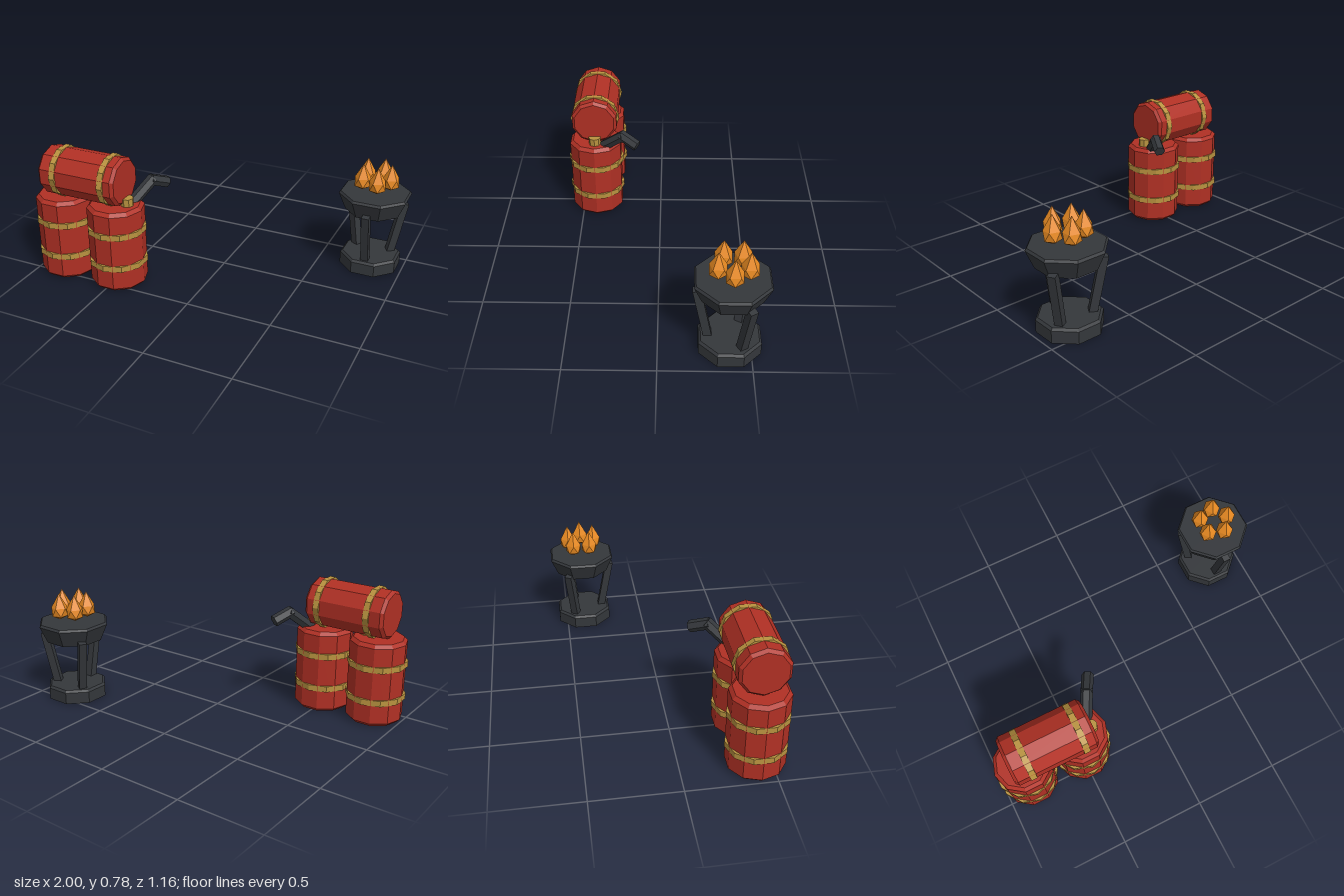
import * as THREE from 'three';
import { ConvexGeometry } from 'three/addons/geometries/ConvexGeometry.js';

const paint = (color) => new THREE.MeshStandardMaterial({ color, flatShading: true });
const red = paint(0xb03024);
const gold = paint(0xb8923f);
const iron = paint(0x34373b);
const flameOrange = paint(0xe88a22);

function add(parent, name, geometry, material, x = 0, y = 0, z = 0) {
  const mesh = new THREE.Mesh(geometry, material);
  mesh.name = name;
  mesh.position.set(x, y, z);
  parent.add(mesh);
  return mesh;
}

// Faceted solid of revolution from [radius, height] pairs, bottom to top
function turned(profile, sides, start) {
  const points = profile.map(([r, y]) => new THREE.Vector2(r, y));
  return new THREE.LatheGeometry(points, sides, start);
}

// Stretch a unit-high geometry between two points
function between(mesh, a, b) {
  const dir = b.clone().sub(a);
  mesh.position.copy(a).addScaledVector(dir, 0.5);
  mesh.scale.y = dir.length();
  mesh.quaternion.setFromUnitVectors(new THREE.Vector3(0, 1, 0), dir.normalize());
}

// Chamfered ten-sided barrel along y with two hoops turned half a facet
function barrel(name, radius, length, bevel, hoopRadius, hoopHeights) {
  const group = new THREE.Group();
  group.name = name;
  const end = radius - bevel;
  const profile = [[0, 0], [end, 0], [radius, bevel], [radius, length - bevel], [end, length], [0, length]];
  add(group, 'barrelBody', turned(profile, 10, Math.PI / 2), red);
  for (const y of hoopHeights) {
    add(group, 'hoop', new THREE.CylinderGeometry(hoopRadius, hoopRadius, 0.035, 10), gold, 0, y, 0);
  }
  return group;
}

function barrelStack() {
  const stack = new THREE.Group();
  stack.name = 'barrelStack';
  // Two standing barrels, each with a bung on top
  for (const x of [-0.835, -0.49]) {
    const standing = barrel('standingBarrel', 0.165, 0.495, 0.02, 0.173, [0.15, 0.35]);
    standing.position.set(x, 0, 0.41);
    add(standing, 'bung', new THREE.CylinderGeometry(0.037, 0.037, 0.055, 8), gold, 0.078, 0.513, 0);
    stack.add(standing);
  }
  // Barrel lying across them
  const lying = barrel('lyingBarrel', 0.143, 0.49, 0.017, 0.15, [0.1, 0.412]);
  lying.rotation.z = -Math.PI / 2;
  lying.position.set(-0.91, 0.635, 0.41);
  stack.add(lying);

  // Bent spout behind the bung
  const path = [[-0.42, 0.475, 0.36], [-0.348, 0.59, 0.232], [-0.3, 0.55, 0.142]].map((p) => new THREE.Vector3(...p));
  for (let i = 0; i < 2; i++) {
    const dir = path[i + 1].clone().sub(path[i]).normalize().multiplyScalar(0.012);
    const a = i ? path[i].clone().sub(dir) : path[i];
    const b = i ? path[i + 1] : path[i + 1].clone().add(dir);
    between(add(stack, 'spout', new THREE.CylinderGeometry(0.034, 0.034, 1, 6), iron), a, b);
  }
  return stack;
}

// Twelve-point teardrop: two twisted five-point rings, a base and a drawn-out tip
function flameGeometry() {
  const points = [new THREE.Vector3(0, 0, 0), new THREE.Vector3(0, 0.16, 0)];
  for (let i = 0; i < 5; i++) {
    const a = (i * 2 * Math.PI) / 5;
    const b = a + Math.PI / 5;
    points.push(new THREE.Vector3(Math.cos(a) * 0.048, 0.025, Math.sin(a) * 0.048));
    points.push(new THREE.Vector3(Math.cos(b) * 0.048, 0.075, Math.sin(b) * 0.048));
  }
  return new ConvexGeometry(points);
}

function brazier() {
  const group = new THREE.Group();
  group.name = 'brazier';
  group.position.set(0.8, 0, -0.384);
  // Octagonal foot and flared bowl, flat sides to the axes
  const foot = [[0, 0], [0.181, 0], [0.181, 0.07], [0.168, 0.083], [0, 0.083]];
  const bowl = [[0, 0.365], [0.17, 0.365], [0.214, 0.467], [0.204, 0.48], [0, 0.48]];
  add(group, 'foot', turned(foot, 8, Math.PI / 8), iron);
  add(group, 'bowl', turned(bowl, 8, Math.PI / 8), iron);

  // Three splayed legs
  for (let i = 0; i < 3; i++) {
    const pivot = new THREE.Group();
    pivot.name = 'legPivot';
    pivot.rotation.y = (i * 2 * Math.PI) / 3;
    const leg = add(pivot, 'leg', new THREE.BoxGeometry(0.045, 1, 0.045), iron);
    between(leg, new THREE.Vector3(0, 0.07, 0.117), new THREE.Vector3(0, 0.393, 0.182));
    group.add(pivot);
  }
  // Ring of five flames
  for (let i = 0; i < 5; i++) {
    const a = (i * 2 * Math.PI) / 5;
    const flame = add(group, 'flame', flameGeometry(), flameOrange, Math.cos(a) * 0.085, 0.5, Math.sin(a) * 0.085);
    flame.rotation.y = -a;
  }
  return group;
}

export function createModel() {
  const model = new THREE.Group();
  model.name = 'barrelsAndBrazier';
  model.add(barrelStack(), brazier());
  return model;
}
